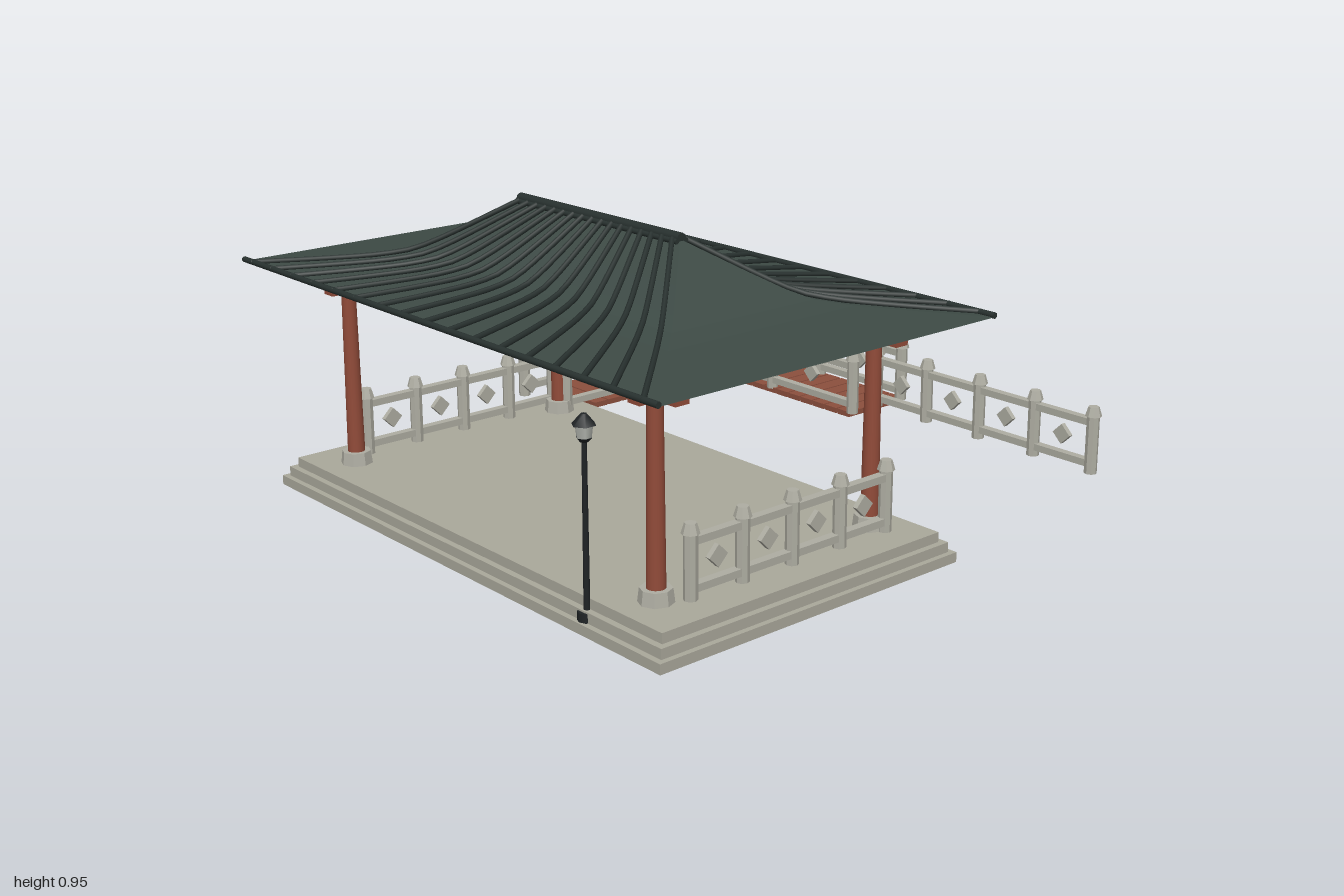
import * as THREE from 'three';

const mat = (name, color, extra = {}) => {
  const m = new THREE.MeshStandardMaterial({ color, ...extra });
  m.name = name;
  return m;
};

export function createModel() {
  const root = new THREE.Group();
  root.name = 'pavilion';
  const stone = mat('floor stone', 0xaaa89b);
  const railStone = mat('railing stone', 0xaeada2, { flatShading: true });
  const paleBlock = mat('pale block', 0xbfbdb2);
  const redWood = mat('red timber', 0x914b39);
  const deckWood = mat('deck timber', 0x8c4f3d);
  const roofGreen = mat('roof green', 0x3d4a45, { side: THREE.DoubleSide, flatShading: true });
  const tileDark = mat('dark tile', 0x28312f);
  const iron = mat('black iron', 0x1f2325);
  const glass = mat('lantern glass', 0xb4b7b0);

  const add = (parent, name, geo, material, x = 0, y = 0, z = 0) => {
    const m = new THREE.Mesh(geo, material);
    m.name = name;
    m.position.set(x, y, z);
    parent.add(m);
    return m;
  };
  const box = (parent, name, material, w, h, d, x, y, z) =>
    add(parent, name, new THREE.BoxGeometry(w, h, d), material, x, y, z);
  const cyl = (parent, name, material, rTop, rBottom, y0, y1, x, z, sides = 12) =>
    add(parent, name, new THREE.CylinderGeometry(rTop, rBottom, y1 - y0, sides), material, x, (y0 + y1) / 2, z);
  const group = (name) => {
    const g = new THREE.Group();
    g.name = name;
    root.add(g);
    return g;
  };

  const ZC = 0.385; // centre of the pavilion in z
  const FLOOR = 0.09;

  // Stepped stone platform
  const platform = group('platform');
  [[0.922, 0.555], [0.905, 0.537], [0.885, 0.517]].forEach(([hx, hz], i) =>
    box(platform, 'platformStep', stone, hx * 2, 0.03, hz * 2, 0, 0.015 + i * 0.03, ZC));

  // Pillars with footings and head blocks
  const frame = group('timberFrame');
  const pillarZ = [ZC + 0.4, ZC - 0.4];
  for (const x of [-0.725, 0.725]) {
    for (const z of pillarZ) {
      cyl(frame, 'pillarFooting', railStone, 0.045, 0.05, FLOOR, 0.13, x, z, 8);
      cyl(frame, 'pillar', redWood, 0.022, 0.027, 0.12, 0.66, x, z, 16);
      box(frame, 'pillarHead', redWood, 0.09, 0.035, 0.09, x, 0.668, z);
    }
    box(frame, 'sideBeam', redWood, 0.046, 0.045, 0.94, x, 0.665, ZC);
  }
  for (const z of pillarZ) box(frame, 'longBeam', redWood, 1.66, 0.045, 0.046, 0, 0.672, z);
  for (const x of [-0.61, 0, 0.61]) box(frame, 'beamBlock', paleBlock, 0.1, 0.032, 0.04, x, 0.633, pillarZ[1]);

  // Concave hipped roof: rectangular loops from ridge (s = 0) to eaves (s = 1)
  const roof = group('roof');
  const profile = [[0, 0.928], [0.2, 0.846], [0.33, 0.795], [0.42, 0.768], [0.55, 0.752], [0.75, 0.739], [1, 0.726]];
  const roofY = (s) => {
    const i = Math.min(Math.max(profile.findIndex((p) => p[0] >= s), 1), profile.length - 1);
    const [a, b] = [profile[i - 1], profile[i]];
    return a[1] + (b[1] - a[1]) * (s - a[0]) / (b[0] - a[0]);
  };
  const verts = [];
  const index = [];
  profile.forEach(([s, y], i) => {
    const hx = 0.37 + 0.611 * s;
    const hz = 0.006 + 0.604 * s;
    for (const [sx, sz] of [[1, 1], [1, -1], [-1, -1], [-1, 1]]) verts.push(hx * sx, y, ZC + hz * sz);
    if (i === 0) return;
    for (let k = 0; k < 4; k++) {
      const a = (i - 1) * 4 + k, b = (i - 1) * 4 + (k + 1) % 4;
      index.push(a, a + 4, b, b, a + 4, b + 4);
    }
  });
  const shell = new THREE.BufferGeometry();
  shell.setAttribute('position', new THREE.Float32BufferAttribute(verts, 3));
  shell.setIndex(index);
  shell.computeVertexNormals();
  add(roof, 'roofShell', shell, roofGreen);

  // Tile ribs fanning from ridge to eaves
  for (const side of [1, -1]) {
    for (let i = -8; i <= 8; i++) {
      const pts = [];
      for (let k = 0; k <= 10; k++) {
        const s = k / 10;
        pts.push(new THREE.Vector3((0.35 + 0.58 * s) * i / 8, roofY(s) + 0.006, ZC + side * (0.018 + 0.592 * s)));
      }
      add(roof, 'tileRib', new THREE.TubeGeometry(new THREE.CatmullRomCurve3(pts), 16, 0.008, 6), tileDark);
    }
  }
  // Ridge and eave rods
  const rod = (name, r, length, y, z) => {
    add(roof, name, new THREE.CylinderGeometry(r, r, length, 10), tileDark, 0, y, z).rotation.z = Math.PI / 2;
  };
  rod('ridgeRoll', 0.016, 0.74, 0.935, ZC);
  for (const side of [1, -1]) {
    rod('ridgeSideRoll', 0.008, 0.74, 0.928, ZC + side * 0.016);
    rod('eaveRoll', 0.009, 1.965, 0.731, ZC + side * 0.606);
  }

  // Railing: evenly spaced posts, two rails and a diamond in each bay
  const railing = (name, x0, z0, x1, z1, bays) => {
    const g = group(name);
    const length = Math.hypot(x1 - x0, z1 - z0);
    const pitch = length / bays;
    g.position.set(x0, 0, z0);
    g.rotation.y = -Math.atan2(z1 - z0, x1 - x0);
    for (let i = 0; i <= bays; i++) {
      cyl(g, 'railPost', railStone, 0.02, 0.02, FLOOR, 0.278, i * pitch, 0, 8);
      cyl(g, 'postCap', railStone, 0.017, 0.026, 0.275, 0.305, i * pitch, 0, 8);
      if (i === bays) continue;
      const d = box(g, 'railDiamond', railStone, 0.046, 0.046, 0.016, (i + 0.5) * pitch, 0.19, 0);
      d.rotation.z = Math.PI / 4;
    }
    box(g, 'topRail', railStone, length, 0.022, 0.027, length / 2, 0.255, 0);
    box(g, 'bottomRail', railStone, length, 0.022, 0.027, length / 2, 0.122, 0);
  };
  for (const x of [-0.775, 0.775]) railing('platformRailing', x, 0.71, x, -0.025, 4);
  for (const x of [-0.942, -0.704]) railing('firstWalkRailing', x, -0.03, x, -0.855, 3);
  for (const z of [-0.977, -0.738]) railing('secondWalkRailing', -0.824, z, -0.042, z, 2);
  railing('backFence', -0.042, -0.857, 0.863, -0.857, 4);

  // Planked walkways forming an L behind the platform
  const deck = group('walkway');
  for (let i = 0; i < 12; i++) {
    box(deck, 'firstWalkPlank', deckWood, 0.262, 0.018, 0.054, -0.823, 0.087, -0.17 - i * 0.06);
  }
  for (let i = 0; i < 13; i++) {
    box(deck, 'secondWalkPlank', deckWood, 0.054, 0.018, 0.265, -0.793 + i * 0.06, 0.085, -0.858);
  }

  // Lamp post at the front
  const lamp = group('lampPost');
  lamp.position.set(0.59, 0, 0.908);
  cyl(lamp, 'lampFoot', iron, 0.026, 0.028, -0.001, 0.055, 0, 0, 8);
  cyl(lamp, 'lampPole', iron, 0.007, 0.009, 0.05, 0.53, 0, 0, 10);
  cyl(lamp, 'lanternBase', iron, 0.022, 0.012, 0.522, 0.534, 0, 0, 6);
  cyl(lamp, 'lanternGlass', glass, 0.026, 0.021, 0.534, 0.57, 0, 0, 6);
  cyl(lamp, 'lanternCap', iron, 0.008, 0.034, 0.568, 0.598, 0, 0, 6);

  return root;
}
